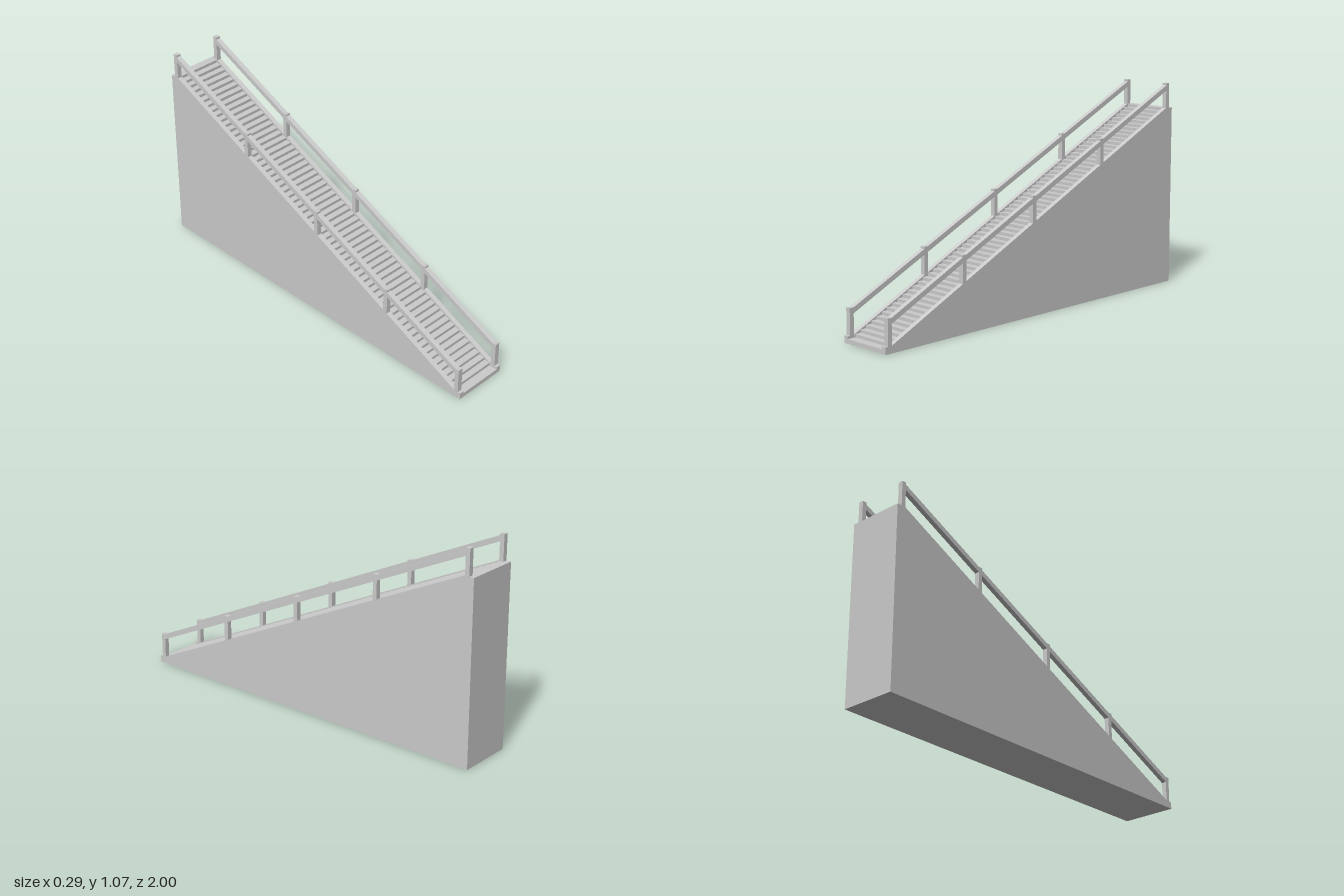
import * as THREE from 'three';

const INNER = 0.12, OUTER = 0.145, SIDE = OUTER - INNER;
const STEPS = 60, SLOPE = 0.465;
const material = new THREE.MeshStandardMaterial({ color: 0xcccccc, flatShading: true });

// Extrudes a side profile of [z, y] points from x = x0 across the given width
function sideExtrude(name, points, x0, width) {
  const shape = new THREE.Shape(points.map(([z, y]) => new THREE.Vector2(z, y)));
  const geometry = new THREE.ExtrudeGeometry(shape, { depth: width, bevelEnabled: false });
  geometry.rotateY(-Math.PI / 2).translate(x0 + width, 0, 0);
  const mesh = new THREE.Mesh(geometry, material);
  mesh.name = name;
  return mesh;
}

// Height of the sloping side wall and of the handrail at a given z
const wallTop = z => THREE.MathUtils.clamp(0.035 + (0.965 - z) * 0.9 / 1.915, 0.035, 0.935);
const railTop = z => 0.165 + SLOPE * (0.962 - z);

export function createModel() {
  const model = new THREE.Group();
  model.name = 'staircase';

  // Solid flight of steps between the side walls
  const profile = [[-1, 0], [1, 0], [1, 0.022]];
  const rise = (0.935 - 0.022) / STEPS, run = 1.912 / (STEPS - 1);
  for (let i = 0; i < STEPS; i++) {
    const z = 0.955 - i * run;
    profile.push([z, 0.022 + i * rise], [z, 0.022 + (i + 1) * rise]);
  }
  profile.push([-1, 0.935]);
  model.add(sideExtrude('steps', profile, -INNER, 2 * INNER));

  for (const side of [1, -1]) {
    const x0 = side > 0 ? INNER : -OUTER;
    const label = side > 0 ? 'left' : 'right';

    // Closed side wall with short level ends
    model.add(sideExtrude(label + 'Wall',
      [[-1, 0], [1, 0], [1, 0.035], [0.965, 0.035], [-0.95, 0.935], [-1, 0.935]], x0, SIDE));

    // Posts, with a sloping rail from each one to the next
    const railing = new THREE.Group();
    railing.name = label + 'Railing';
    const fronts = [0.985, 0.522, 0.052, -0.437, -0.952];
    const width = 0.023;
    fronts.forEach((front, i) => {
      const back = front - width, top = railTop(back);
      railing.add(sideExtrude('post',
        [[back, wallTop(back) - 0.01], [front, wallTop(front) - 0.01], [front, top], [back, top]], x0, SIDE));
      if (i === fronts.length - 1) return;
      const next = fronts[i + 1];
      railing.add(sideExtrude('handrail',
        [[next, railTop(next) - 0.028], [back, top - 0.028], [back, top], [next, railTop(next)]], x0, SIDE));
    });
    model.add(railing);
  }
  return model;
}
